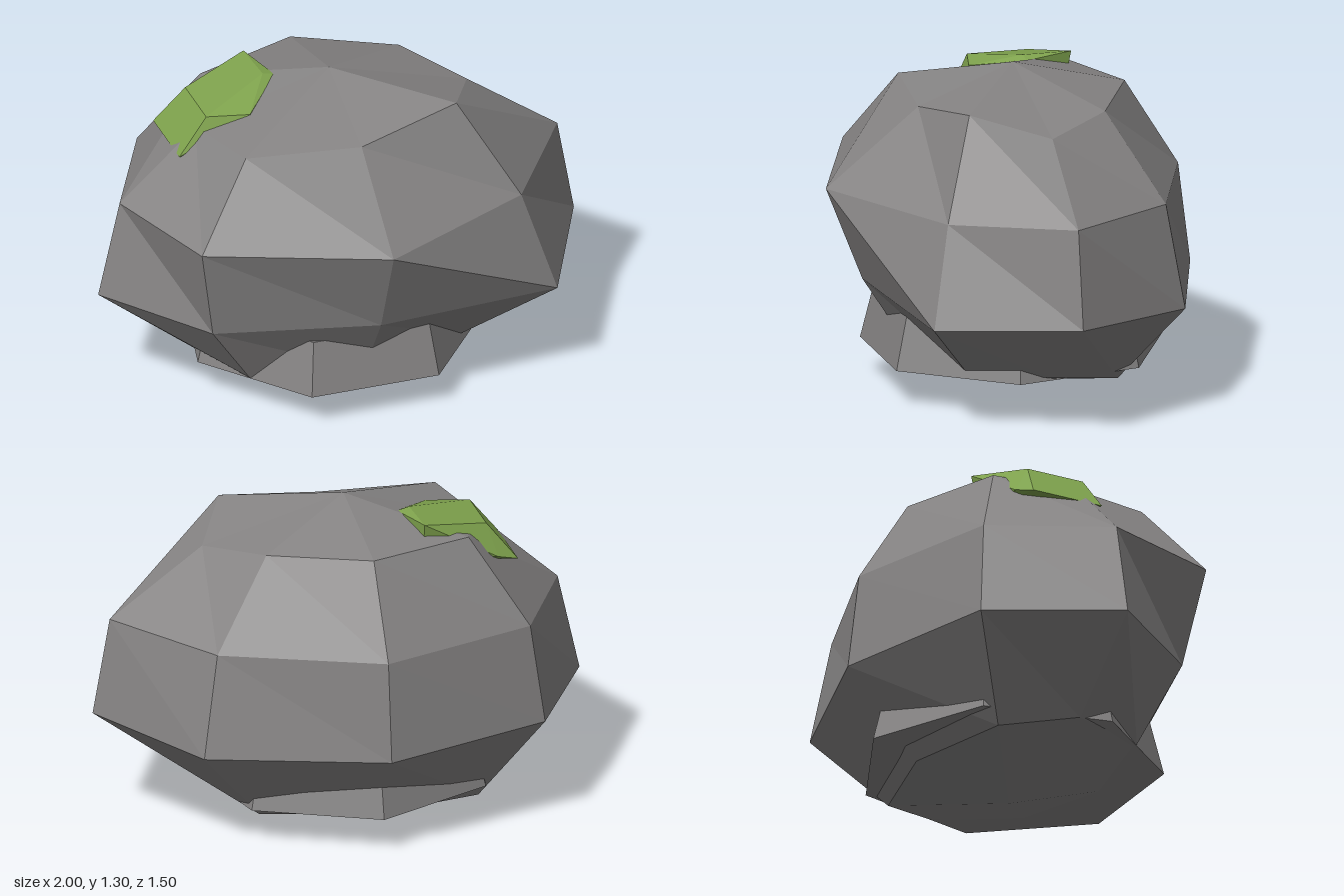
import * as THREE from 'three';
import { ConvexGeometry } from 'three/addons/geometries/ConvexGeometry.js';

const CX = -0.03, CZ = -0.02;

// Closed faceted shell: top pole, rings (each running left > front > right > back), bottom pole
function shell(topY, rings, bottomY) {
  const pos = [];
  const tri = (...pts) => pts.forEach((p) => pos.push(...p));
  const top = [CX, topY, CZ], bottom = [CX, bottomY, CZ];
  const n = rings[0].length, last = rings.length - 1;
  for (let i = 0; i < n; i++) {
    const j = (i + 1) % n;
    tri(top, rings[0][i], rings[0][j]);
    for (let r = 0; r < last; r++) {
      const a = rings[r], b = rings[r + 1];
      tri(a[i], b[i], b[j]);
      tri(a[i], b[j], a[j]);
    }
    tri(rings[last][i], bottom, rings[last][j]);
  }
  const g = new THREE.BufferGeometry();
  g.setAttribute('position', new THREE.Float32BufferAttribute(pos, 3));
  g.computeVertexNormals();
  return g;
}

export function createModel() {
  const group = new THREE.Group();
  const stone = new THREE.MeshStandardMaterial({ color: 0x858383, flatShading: true });
  stone.name = 'stone grey';
  const moss = new THREE.MeshStandardMaterial({ color: 0x7fa34d, flatShading: true });
  moss.name = 'moss green';

  const add = (name, geometry, material) => {
    const mesh = new THREE.Mesh(geometry, material);
    mesh.name = name;
    group.add(mesh);
    return mesh;
  };

  // Main boulder: four uneven eight-sided rings
  const rings = [
    [[-0.59, 1.14, CZ], [-0.5, 1.16, 0.32], [CX, 1.15, 0.37], [0.4, 1.22, 0.28],
      [0.55, 1.14, CZ], [0.36, 1.185, -0.29], [CX, 1.195, -0.48], [-0.46, 1.19, -0.33]],
    [[-0.91, 0.85, CZ], [-0.74, 0.845, 0.48], [CX, 0.84, 0.75], [0.62, 0.84, 0.43],
      [0.93, 0.865, CZ], [0.61, 0.855, -0.47], [CX, 0.84, -0.7], [-0.67, 0.85, -0.49]],
    [[-1, 0.45, CZ], [-0.67, 0.44, 0.41], [CX, 0.46, 0.6], [0.74, 0.44, 0.52],
      [1, 0.47, CZ], [0.68, 0.44, -0.53], [CX, 0.435, -0.75], [-0.72, 0.45, -0.53]],
    [[-0.61, 0.14, CZ], [-0.48, 0.15, 0.31], [CX, 0.15, 0.4], [0.41, 0.175, 0.3],
      [0.56, 0.16, CZ], [0.4, 0.095, -0.33], [CX, 0.09, -0.44], [-0.5, 0.08, -0.33]],
  ];
  add('boulder', shell(1.305, rings, 0), stone);

  // Seven-sided tapered stone collar under the boulder
  const collar = add('baseStone', new THREE.CylinderGeometry(0.56, 0.615, 0.22, 7, 1, false, Math.PI), stone);
  collar.position.set(CX, 0.255, CZ);

  // Moss lump, partly sunk into the upper right shoulder
  const lump = [
    [-0.56, 1.2, -0.23], [-0.56, 1.2, 0.02], [-0.39, 1.2, 0.06],
    [-0.28, 1.26, -0.33], [-0.27, 1.262, -0.13], [-0.22, 1.25, -0.13],
    [-0.68, 1.05, -0.27], [-0.68, 1.05, 0.04], [-0.59, 1.08, -0.3],
    [-0.28, 1.1, -0.3], [-0.3, 1.1, 0], [-0.55, 1.03, 0],
  ].map((p) => new THREE.Vector3(...p));
  add('mossPatch', new ConvexGeometry(lump), moss);

  return group;
}
